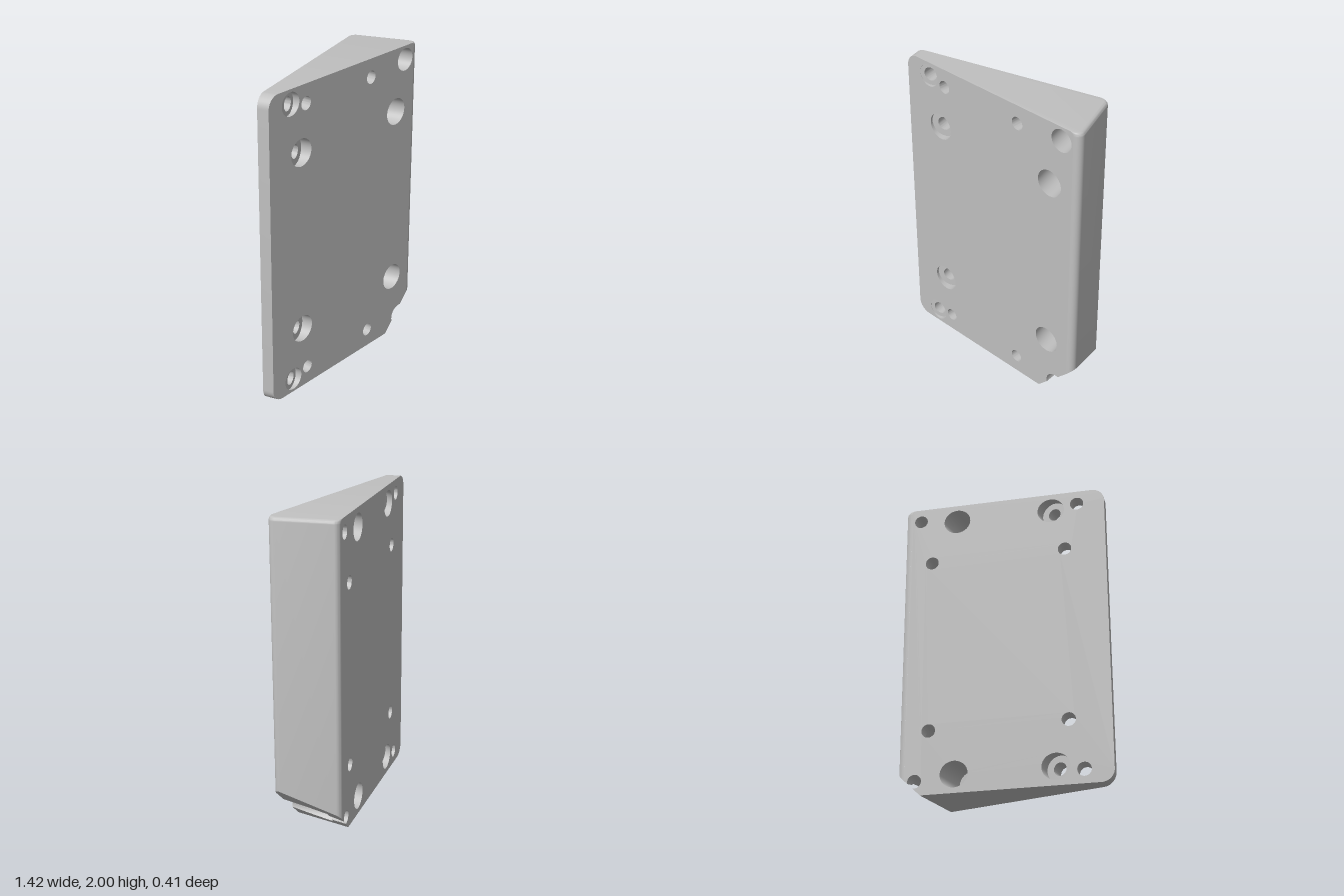
import * as THREE from 'three';
import { toCreasedNormals } from 'three/addons/utils/BufferGeometryUtils.js';

const TILT = Math.PI / 12, S = Math.sin(TILT), C = Math.cos(TILT);
const HEIGHT = 2, FRONT = 0.2, APEX = -0.971, BACK = -Math.tan(TILT); // wedge planes meet at x = APEX
const CUT = 0.44; // corner cut plane: y = x - CUT
const planeZ = (x, m) => FRONT + (x - APEX) * m;
const V = (x, y, z) => new THREE.Vector3(x, y, z);

// x stretch of a cylinder tilted by (s, c) where a plane of slope m slices it
const stretch = (m, s, c) => c + s * (s + m * c) / (c - m * s);

// Skin between successive rows of points, front row first
function loft(rows) {
  const n = rows[0].length, index = [];
  for (let k = 0; k < rows.length - 1; k++) {
    for (let i = 0; i < n - 1; i++) {
      const a = k * n + i, b = a + 1, c = a + n, d = c + 1;
      index.push(a, c, b, b, c, d);
    }
  }
  const geo = new THREE.BufferGeometry().setFromPoints(rows.flat());
  geo.setIndex(index);
  return toCreasedNormals(geo, 0.5);
}

// Flat face from an outline, with its vertices moved onto a plane
function face(outline, holes, place, flip) {
  const shape = new THREE.Shape(outline.map((p) => new THREE.Vector2(p.x, p.y)));
  for (const h of holes) {
    shape.holes.push(new THREE.Path(h.slice(0, -1).map((p) => new THREE.Vector2(p.x, p.y))));
  }
  const geo = new THREE.ShapeGeometry(shape);
  const pos = geo.attributes.position;
  for (let i = 0; i < pos.count; i++) pos.setXYZ(i, ...place(pos.getX(i), pos.getY(i)));
  if (flip) geo.index.array.reverse();
  geo.computeVertexNormals();
  return geo;
}

// Right-hand profile (x, z): two rounded vertical edges, front to back
function sideProfile() {
  const pts = [], deg = Math.PI / 180, r = 0.04, n = 8;
  for (const [x, z, a0, a1] of [[0.669, 0.16, 90, -20], [0.551, -0.1665, -20, -105]]) {
    for (let i = 0; i <= n; i++) {
      const a = (a0 + (a1 - a0) * i / n) * deg;
      pts.push([x + r * Math.cos(a), z + r * Math.sin(a)]);
    }
  }
  return pts;
}

// Outline in a plane of slope m, open along the corner cut
function bodyRow(right, m) {
  const left = -0.71 + S * (0.07 + 0.261 * m) / (C - m * S);
  const pts = [[right, right - CUT]];
  const corner = (x, y, rx, ry, a0, n) => {
    for (let i = 0; i <= n; i++) {
      const a = a0 + Math.PI / 2 * i / n;
      pts.push([x + rx * Math.cos(a), y + ry * Math.sin(a)]);
    }
  };
  const small = 0.025, R = 0.08, rx = R * stretch(m, S, C);
  corner(right - small, HEIGHT - small, small, small, 0, 5);
  corner(left + rx, HEIGHT - R, rx, R, Math.PI / 2, 10);
  corner(left + rx, R, rx, R, Math.PI, 10);
  pts.push([CUT, 0]);
  return pts.map(([x, y]) => V(x, y, planeZ(x, m)));
}

// One ring of a bore, trimmed where it breaks through the corner cut
function ring(x0, y0, z0, m, r, s, c) {
  const rx = r * stretch(m, s, c), n = 40, pts = [];
  const delta = Math.atan2(r, rx);
  const open = Math.acos(THREE.MathUtils.clamp((CUT - x0 + y0) / Math.hypot(rx, r), -1, 1));
  for (let i = 0; i <= n; i++) {
    const a = 2 * Math.PI - open - delta - (2 * Math.PI - 2 * open) * i / n;
    const dx = rx * Math.cos(a);
    pts.push(V(x0 + dx, y0 + r * Math.sin(a), z0 + m * dx));
  }
  return pts;
}

// Bore square to the sloped back, counterbored from the front
function tiltedBore(x, y, big, small) {
  const depth = (FRONT - planeZ(x, BACK)) * C, rows = [], n = 6;
  const at = (t, m, r) => rows.push(ring(x - S * t, y, FRONT - C * t, m, r, S, C));
  for (let i = 0; i <= n; i++) at((depth - 0.1) * i / n, BACK * i / n, big);
  at(depth - 0.1, BACK, small);
  at(depth, BACK, small);
  return rows;
}

// Bore square to the front, counterbored from the back
function straightBore(x, y, big, small) {
  return [
    ring(x, y, FRONT, 0, small, 0, 1),
    ring(x, y, FRONT - 0.1, 0, small, 0, 1),
    ring(x, y, FRONT - 0.1, 0, big, 0, 1),
    ring(x, y, planeZ(x, BACK), BACK, big, 0, 1),
  ];
}

export function createModel() {
  const group = new THREE.Group();
  group.name = 'wedgeMountingPlate';
  const grey = new THREE.MeshStandardMaterial({ color: 0xc0c0c0 });
  grey.name = 'plain grey';
  const add = (name, geo) => {
    const mesh = new THREE.Mesh(geo, grey);
    mesh.name = name;
    group.add(mesh);
  };

  // Bores, mirrored top and bottom
  const bores = [];
  for (const up of [true, false]) {
    const Y = (y) => (up ? HEIGHT - y : y);
    for (const x of [-0.505, 0.582]) bores.push(['outerScrewBore', tiltedBore(x, Y(0.09), 0.073, 0.044)]);
    for (const x of [-0.415, 0.497]) bores.push(['innerScrewBore', tiltedBore(x, Y(0.413), 0.087, 0.044)]);
    for (const x of [-0.37, 0.238]) bores.push(['straightBore', straightBore(x, Y(0.12), 0.085, 0.042)]);
  }
  for (const [name, rows] of bores) add(name, loft(rows));

  // The last outer bore breaks through the corner cut
  const notch = bores.filter(([name]) => name === 'outerScrewBore')[3][1];
  const closed = bores.map(([, rows]) => rows).filter((rows) => rows !== notch);

  // Outer walls
  const profile = sideProfile();
  const rows = profile.map(([x, z]) => bodyRow(x, (z - FRONT) / (x - APEX)));
  add('outerWalls', loft(rows));

  // Front and sloped back faces
  const last = (list) => list[list.length - 1];
  add('frontFace', face([...rows[0], ...notch[0]], closed.map((b) => b[0]),
    (x, y) => [x, y, FRONT]));
  add('backFace', face([...last(rows), ...last(notch)], closed.map(last),
    (x, y) => [x, y, planeZ(x, BACK)], true));

  // Corner cut, in two pieces on either side of the open bore
  const onCut = (x, z) => [x, x - CUT, z];
  const flat = (p) => ({ x: p.x, y: p.z });
  add('cornerCutLower', face([
    { x: CUT, y: FRONT }, ...notch.map((r) => flat(r[0])), { x: CUT, y: planeZ(CUT, BACK) },
  ], [], onCut));
  add('cornerCutUpper', face([
    ...notch.map((r) => flat(last(r))), ...profile.map(([x, z]) => ({ x, y: z })).reverse(),
  ], [], onCut));

  return group;
}
